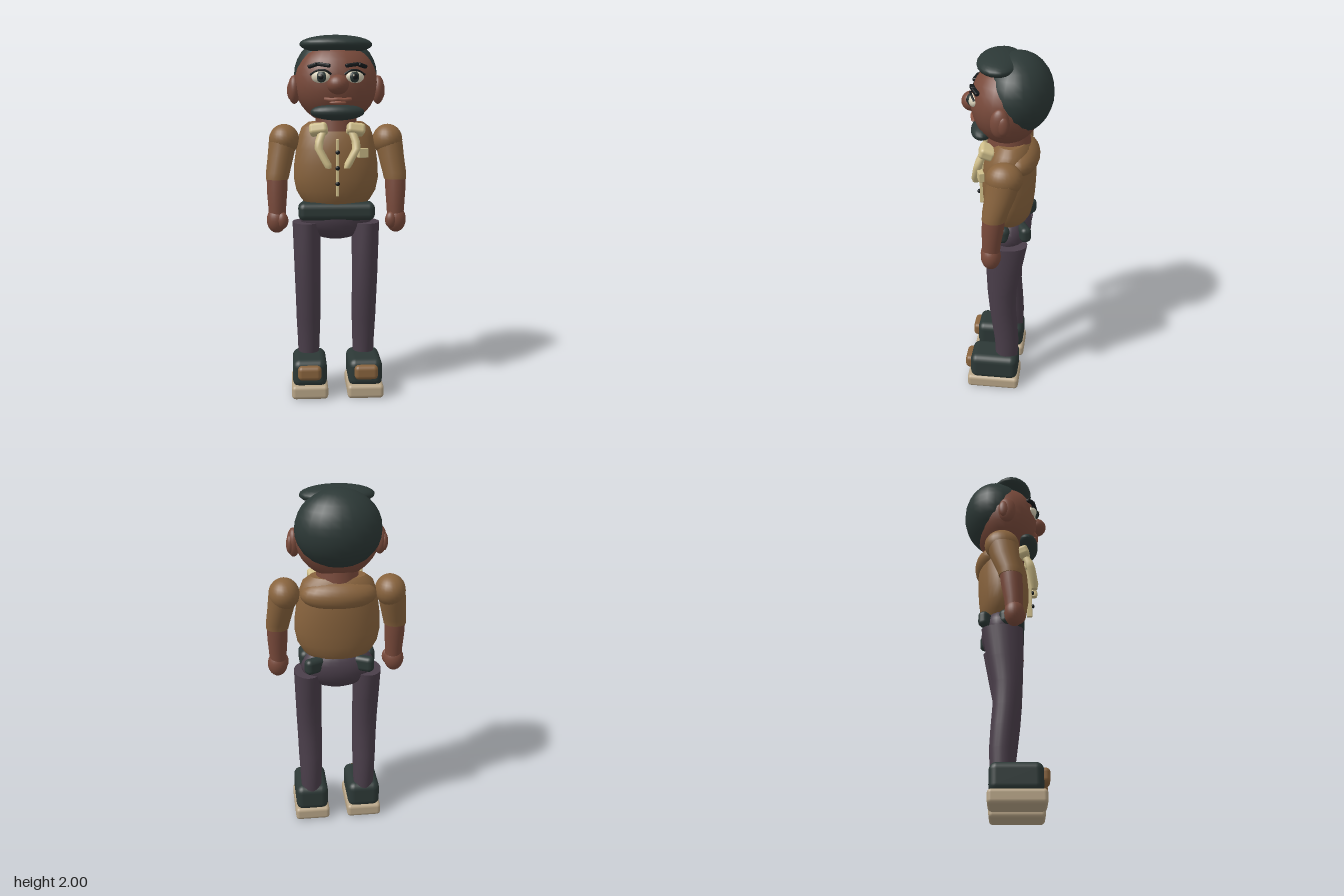
import * as THREE from 'three';
import { RoundedBoxGeometry } from 'three/addons/geometries/RoundedBoxGeometry.js';

const mat = (name, color) => {
  const m = new THREE.MeshStandardMaterial({ color });
  m.name = name;
  return m;
};

// Closed smooth body through elliptical rings [x, y, z, rx, rz], listed from bottom to top
function loft(rings, sides = 20) {
  const pos = [], index = [];
  const addRing = ([x, y, z, rx, rz]) => {
    for (let j = 0; j < sides; j++) {
      const a = (j / sides) * Math.PI * 2;
      pos.push(x + rx * Math.cos(a), y, z + rz * Math.sin(a));
    }
  };
  rings.forEach(addRing);
  for (let i = 0; i < rings.length - 1; i++) {
    for (let j = 0; j < sides; j++) {
      const k = (j + 1) % sides;
      const a = i * sides + j, b = i * sides + k, c = a + sides, d = b + sides;
      index.push(a, c, b, b, c, d);
    }
  }
  // flat end caps with their own vertices
  for (const top of [false, true]) {
    const ring = top ? rings[rings.length - 1] : rings[0];
    const start = pos.length / 3;
    addRing(ring);
    pos.push(ring[0], ring[1], ring[2]);
    for (let j = 0; j < sides; j++) {
      const a = start + j, b = start + ((j + 1) % sides), c = start + sides;
      if (top) index.push(c, b, a);
      else index.push(c, a, b);
    }
  }
  const g = new THREE.BufferGeometry();
  g.setAttribute('position', new THREE.Float32BufferAttribute(pos, 3));
  g.setIndex(index);
  g.computeVertexNormals();
  return g;
}

export function createModel() {
  const model = new THREE.Group();
  model.name = 'standingMan';

  const skin = mat('skin', 0x794a3b);
  const hair = mat('darkGreen', 0x2c3836);
  const shirt = mat('brownCloth', 0x88633d);
  const pants = mat('plumCloth', 0x4a3e4a);
  const cream = mat('cream', 0xcfbe8a);
  const sole = mat('soleTan', 0xb8a587);
  const lip = mat('lip', 0x8e5644);
  const black = mat('black', 0x15191b);
  const white = mat('eyeWhite', 0xd8d0b8);

  const add = (name, geometry, material, p = [0, 0, 0], rot = [0, 0, 0]) => {
    const m = new THREE.Mesh(geometry, material);
    m.name = name;
    m.position.set(...p);
    m.rotation.set(...rot);
    model.add(m);
    return m;
  };
  const ball = (name, material, p, r, rot) =>
    add(name, new THREE.SphereGeometry(1, 24, 16).scale(...r), material, p, rot);
  const box = (name, material, p, size, radius, rot) =>
    add(name, new RoundedBoxGeometry(...size, 3, radius), material, p, rot);
  const tube = (name, material, points, radius) => {
    const curve = new THREE.CatmullRomCurve3(points.map((q) => new THREE.Vector3(...q)));
    return add(name, new THREE.TubeGeometry(curve, 10, radius, 8), material);
  };

  // Head and hair
  ball('head', skin, [0, 1.74, 0], [0.228, 0.222, 0.19]);
  ball('backHair', hair, [0, 1.79, -0.058], [0.23, 0.21, 0.185]);
  ball('frontHair', hair, [-0.003, 1.947, 0.035], [0.198, 0.05, 0.12]);
  ball('nose', skin, [0, 1.73, 0.185], [0.058, 0.052, 0.056]);
  ball('beard', hair, [0, 1.585, 0.125], [0.146, 0.045, 0.066]);
  tube('upperLip', lip, [[-0.07, 1.655, 0.164], [-0.03, 1.65, 0.181], [0, 1.654, 0.185],
    [0.03, 1.65, 0.181], [0.07, 1.655, 0.164]], 0.01);
  ball('lowerLip', lip, [0, 1.635, 0.175], [0.045, 0.012, 0.018]);
  add('neck', new THREE.CylinderGeometry(0.11, 0.12, 0.1, 20), skin, [0, 1.53, -0.01]);

  // Torso, back yoke and hips
  add('shirtBody', loft([
    [0, 1.07, -0.015, 0.165, 0.1], [0, 1.1, -0.015, 0.193, 0.118], [0, 1.15, -0.012, 0.222, 0.132],
    [0, 1.22, -0.01, 0.236, 0.142], [0, 1.3, -0.012, 0.233, 0.145], [0, 1.38, -0.015, 0.222, 0.142],
    [0, 1.45, -0.02, 0.208, 0.13], [0, 1.5, -0.025, 0.19, 0.112], [0, 1.53, -0.025, 0.15, 0.085],
  ], 28), shirt);
  ball('backYoke', shirt, [0, 1.435, -0.072], [0.205, 0.09, 0.104]);
  ball('hips', pants, [0, 1.005, -0.02], [0.205, 0.135, 0.115]);
  box('belt', hair, [0, 1.037, 0.035], [0.425, 0.1, 0.14], 0.035);

  // Shirt front: placket and buttons
  box('placket', cream, [0, 1.285, 0.138], [0.016, 0.31, 0.03], 0.004);
  for (const y of [1.2, 1.285, 1.37]) ball('button', black, [0, y, 0.157], [0.012, 0.012, 0.009]);
  box('chestPocket', cream, [0.138, 1.365, 0.125], [0.056, 0.052, 0.03], 0.004, [0, 0.35, 0]);

  for (const s of [1, -1]) {
    // Face details
    ball('ear', skin, [s * 0.23, 1.705, 0.01], [0.035, 0.078, 0.05]);
    ball('innerEar', skin, [s * 0.25, 1.7, -0.008], [0.02, 0.05, 0.03]);
    ball('eyeWhite', white, [s * 0.09, 1.77, 0.163], [0.052, 0.034, 0.028], [0, s * 0.35, 0]);
    ball('iris', hair, [s * 0.088, 1.77, 0.181], [0.029, 0.029, 0.016], [0, s * 0.35, 0]);
    ball('pupil', black, [s * 0.09, 1.77, 0.191], [0.016, 0.016, 0.009], [0, s * 0.35, 0]);
    ball('eyeGlint', white, [s * 0.09 - 0.008, 1.778, 0.199], [0.005, 0.005, 0.003]);
    tube('upperLid', black, [[s * 0.035, 1.783, 0.18], [s * 0.065, 1.803, 0.182],
      [s * 0.105, 1.804, 0.171], [s * 0.145, 1.782, 0.15]], 0.006);
    box('innerBrow', black, [s * 0.075, 1.833, 0.169], [0.072, 0.02, 0.026], 0.007, [0, s * 0.25, s * 0.15]);
    box('outerBrow', black, [s * 0.132, 1.83, 0.144], [0.055, 0.02, 0.026], 0.007, [0, s * 0.6, s * -0.25]);

    // Collar and lapel
    box('collar', cream, [s * 0.1, 1.49, 0.095], [0.1, 0.062, 0.085], 0.02, [-0.35, s * 0.15, s * -0.08]);
    add('lapel', loft([
      [s * 0.05, 1.285, 0.165, 0.016, 0.018], [s * 0.058, 1.31, 0.167, 0.023, 0.022],
      [s * 0.102, 1.39, 0.148, 0.023, 0.024], [s * 0.098, 1.43, 0.137, 0.023, 0.024],
      [s * 0.08, 1.48, 0.115, 0.023, 0.022],
    ], 10), cream);

    // Arm
    ball('shoulder', shirt, [s * 0.288, 1.43, -0.018], [0.084, 0.087, 0.096]);
    add('sleeve', loft([
      [s * 0.328, 1.215, 0.03, 0.062, 0.064], [s * 0.324, 1.25, 0.025, 0.066, 0.068],
      [s * 0.308, 1.34, 0.0, 0.072, 0.08], [s * 0.295, 1.42, -0.015, 0.078, 0.088],
    ]), shirt);
    add('forearm', loft([
      [s * 0.329, 1.01, 0.047, 0.046, 0.046], [s * 0.329, 1.07, 0.045, 0.05, 0.05],
      [s * 0.329, 1.15, 0.038, 0.056, 0.058], [s * 0.328, 1.23, 0.03, 0.058, 0.06],
    ]), skin);
    ball('hand', skin, [s * 0.332, 0.99, 0.048], [0.056, 0.072, 0.053]);
    ball('thumb', skin, [s * 0.3, 0.99, 0.078], [0.032, 0.046, 0.029]);

    // Back pocket and leg
    box('backPocket', hair, [s * 0.13, 1.037, -0.1], [0.13, 0.088, 0.06], 0.026, [0, s * 0.5, 0]);
    add('leg', loft([
      [s * 0.157, 0.17, -0.015, 0.058, 0.064], [s * 0.157, 0.3, -0.015, 0.063, 0.069],
      [s * 0.158, 0.42, -0.004, 0.068, 0.073], [s * 0.159, 0.53, 0.007, 0.07, 0.075],
      [s * 0.162, 0.66, 0.011, 0.072, 0.082], [s * 0.164, 0.8, 0.0, 0.075, 0.098],
      [s * 0.167, 0.97, -0.016, 0.078, 0.114],
    ], 22), pants);

    // Shoe
    box('sole', sole, [s * 0.155, 0.04, 0.06], [0.202, 0.078, 0.302], 0.022);
    box('shoeUpper', hair, [s * 0.155, 0.14, 0.055], [0.19, 0.158, 0.278], 0.042);
    box('toePatch', shirt, [s * 0.157, 0.153, 0.195], [0.13, 0.08, 0.06], 0.024);
  }
  return model;
}
